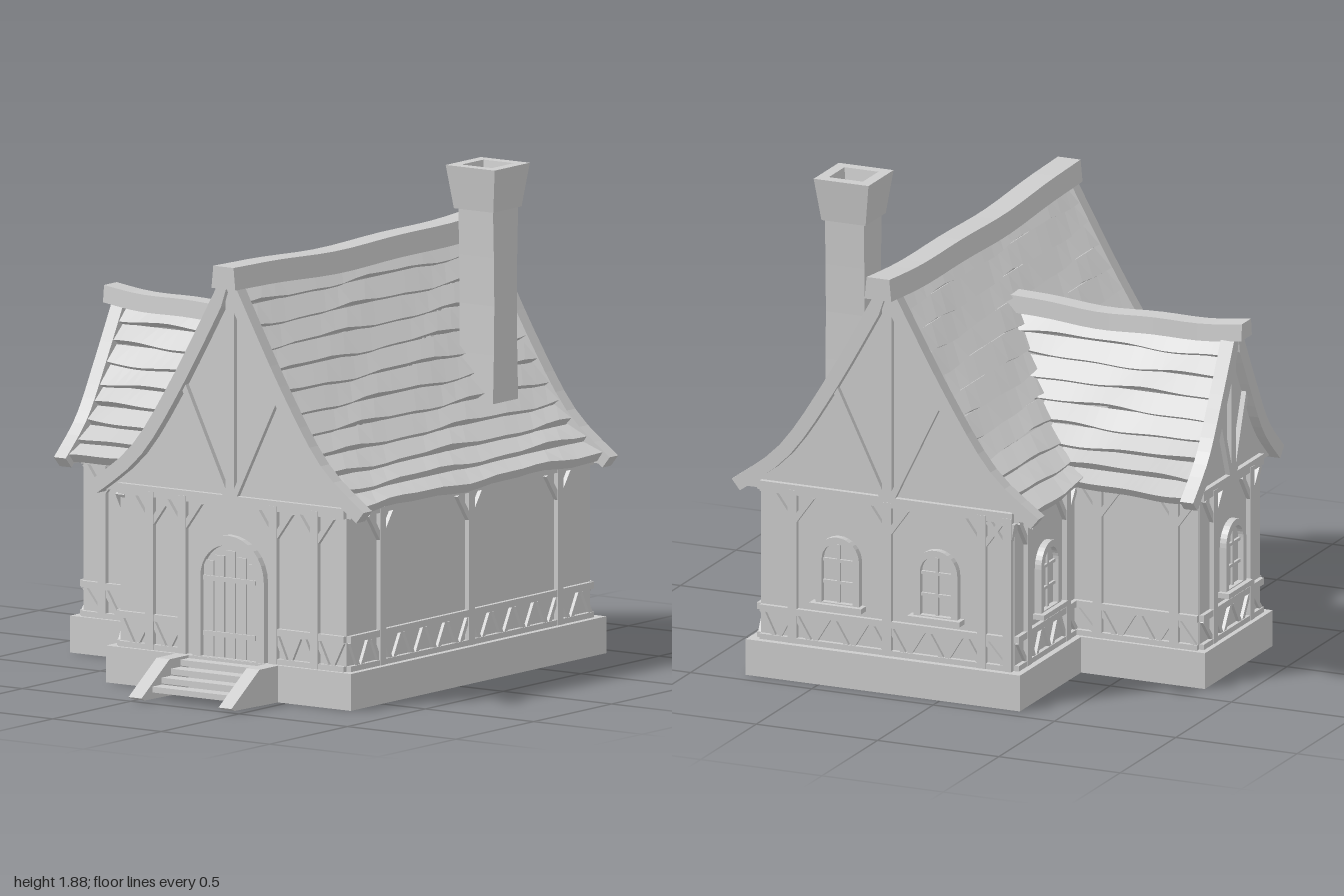
import * as THREE from 'three';

const stone = new THREE.MeshStandardMaterial({ color: 0xcccccc, flatShading: true, side: THREE.DoubleSide });
stone.name = 'plain grey';

const mesh = (parent, name, geo, x = 0, y = 0, z = 0) => {
  const m = new THREE.Mesh(geo, stone);
  m.name = name;
  m.position.set(x, y, z);
  parent.add(m);
  return m;
};
const box = (parent, name, w, h, d, x, y, z) => mesh(parent, name, new THREE.BoxGeometry(w, h, d), x, y, z);
const group = (parent, name, x = 0, y = 0, z = 0, rot = 0) => {
  const g = new THREE.Group();
  g.name = name;
  g.position.set(x, y, z);
  g.rotation.y = rot;
  parent.add(g);
  return g;
};
const V = (x, y) => new THREE.Vector2(x, y);
const extrude = (shape, depth) => new THREE.ExtrudeGeometry(shape, { depth, bevelEnabled: false, curveSegments: 8 });

// Concave roof profiles: distance from the ridge, height
const mainProfile = new THREE.SplineCurve([V(0, 1.56), V(0.22, 1.17), V(0.41, 0.89), V(0.61, 0.73)]);
const wingProfile = new THREE.SplineCurve([V(0, 1.29), V(0.12, 1.07), V(0.24, 0.87), V(0.385, 0.73)]);
const MAIN_Z = 0.23, WING_X = 0.085;

const offsetPoint = (curve, t, off) => {
  const p = curve.getPointAt(t), q = curve.getTangentAt(t);
  return V(p.x - q.y * off, p.y + q.x * off);
};
// Symmetric line across both slopes, left foot to right foot
const bothSlopes = (curve, off, n = 12) => {
  const half = [];
  for (let i = 0; i <= n; i++) {
    const p = offsetPoint(curve, i / n, off);
    p.x = Math.max(p.x, 0.001);
    half.push(p);
  }
  return [...half.map(p => V(-p.x, p.y)).reverse(), ...half];
};
// Distance of the main slope from its ridge at a given height
const mainDistance = y => {
  let t = 0;
  while (t < 1 && mainProfile.getPointAt(t).y > y) t += 0.01;
  return mainProfile.getPointAt(Math.min(t, 1)).x;
};

// One slope of overlapping wavy boards; local z runs down the slope
function slope(parent, name, curve, rows, range, x, z, rot) {
  const g = group(parent, name, x, 0, z, rot);
  const tEnd = 0.965;
  for (let i = 0; i < rows; i++) {
    const t0 = (i / rows) * tEnd, t1 = ((i + 1) / rows) * tEnd;
    const [a0, a1] = range(curve.getPointAt((t0 + t1) / 2).y);
    const geo = new THREE.BoxGeometry(1, 1, 1, 18, 1, 1), pos = geo.attributes.position;
    for (let k = 0; k < pos.count; k++) {
      const a = a0 + (pos.getX(k) + 0.5) * (a1 - a0);
      const low = pos.getZ(k) > 0, top = pos.getY(k) > 0;
      const p = offsetPoint(curve, low ? t1 : t0, top ? (low ? 0.032 : 0.004) : -0.012);
      const wave = 0.006 * Math.sin(a * 8 + i * 1.7) + 0.003 * Math.sin(a * 19 + i * 2.3);
      pos.setXYZ(k, a, p.y + (low ? wave : 0), p.x - (low ? wave * 0.5 : 0));
    }
    geo.computeVertexNormals();
    mesh(g, 'roofBoard', geo);
  }
}

// Curved boards closing a gable end
function barge(parent, curve, x, z, rot) {
  const pts = [...bothSlopes(curve, 0.036), ...bothSlopes(curve, -0.018).reverse()];
  mesh(parent, 'bargeBoard', extrude(new THREE.Shape(pts), 0.055), x, 0, z).rotation.y = rot;
}

// Sagging ridge beam along local x, narrower on top
function ridge(parent, len, w, h, sag, x, y, z, rot) {
  const geo = new THREE.BoxGeometry(len, h, w, 16, 1, 1), pos = geo.attributes.position;
  for (let k = 0; k < pos.count; k++) {
    const s = pos.getX(k) / len * 2;
    if (pos.getY(k) > 0) pos.setZ(k, pos.getZ(k) * 0.85);
    pos.setY(k, pos.getY(k) + sag * (s * s - 1) + 0.004 * Math.sin(s * 7));
  }
  geo.computeVertexNormals();
  mesh(parent, 'ridgeBeam', geo, x, y, z).rotation.y = rot;
}

// Timber in a wall's own plane, sunk half into the wall
function timber(g, name, u1, v1, u2, v2, w = 0.035, d = 0.04) {
  const m = box(g, name, Math.hypot(u2 - u1, v2 - v1), w, d, (u1 + u2) / 2, (v1 + v2) / 2, 0);
  m.rotation.z = Math.atan2(v2 - v1, u2 - u1);
}

function arch(Type, r, y0, spring, u = 0) {
  const s = new Type();
  s.moveTo(u - r, y0);
  s.lineTo(u + r, y0);
  s.lineTo(u + r, spring);
  s.absarc(u, spring, r, 0, Math.PI, false);
  s.lineTo(u - r, y0);
  return s;
}
function archFrame(g, name, u, rOut, rIn, y0, spring, depth) {
  const s = arch(THREE.Shape, rOut, y0, spring, u);
  s.holes.push(arch(THREE.Path, rIn, y0 + 0.012, spring, u));
  mesh(g, name, extrude(s, depth));
}

function windowAt(wall, u) {
  const g = group(wall, 'window', u);
  archFrame(g, 'windowFrame', 0, 0.09, 0.064, 0.31, 0.49, 0.03);
  mesh(g, 'windowPane', new THREE.ShapeGeometry(arch(THREE.Shape, 0.066, 0.31, 0.49)), 0, 0, 0.008);
  box(g, 'windowBar', 0.012, 0.23, 0.012, 0, 0.433, 0.012);
  for (const y of [0.4, 0.485]) box(g, 'windowBar', 0.128, 0.012, 0.012, 0, y, 0.012);
  box(g, 'windowSill', 0.215, 0.02, 0.09, 0, 0.308, 0.005);
}

// Half-timbered wall: u runs along the wall, local z points outwards
function wall(parent, name, x, z, rot, u0, u1, posts, windows, doorAt = null) {
  const g = group(parent, name, x, 0, z, rot);
  box(g, 'wallPanel', u1 - u0, 0.63, 0.006, (u0 + u1) / 2, 0.435, 0);
  timber(g, 'topBeam', u0, 0.74, u1, 0.74, 0.04);
  for (const u of posts) {
    timber(g, 'post', u, 0.13, u, 0.74, 0.036, 0.044);
    for (const s of [-1, 1]) {
      const e = Math.min(Math.max(u + s * 0.08, u0), u1);
      timber(g, 'brace', u, 0.61, e, 0.72, 0.022);
    }
  }
  // Rail, sill and zigzag struts, bay by bay
  const edges = [u0, ...posts, u1];
  for (let i = 0; i + 1 < edges.length; i++) {
    const a = edges[i], b = edges[i + 1];
    if (b - a < 0.05 || (doorAt !== null && a < doorAt && b > doorAt)) continue;
    timber(g, 'rail', a, 0.262, b, 0.262, 0.026);
    timber(g, 'sill', a, 0.15, b, 0.15, 0.022);
    const n = Math.max(1, Math.round((b - a) / 0.075)), d = (b - a) / n;
    for (let k = 0; k < n; k++) {
      const up = k % 2 === 0;
      timber(g, 'strut', a + k * d + 0.01, up ? 0.25 : 0.155, a + (k + 1) * d - 0.01, up ? 0.155 : 0.25, 0.018, 0.032);
    }
  }
  for (const u of windows) windowAt(g, u);
  return g;
}

function gable(g, curve, c, reach, top) {
  mesh(g, 'gablePanel', new THREE.ShapeGeometry(new THREE.Shape(bothSlopes(curve, -0.005))), c, 0, 0);
  timber(g, 'gablePost', c, 0.75, c, top, 0.04);
  for (const s of [-1, 1]) timber(g, 'gableBrace', c + s * 0.02, 0.76, c + s * reach[0], reach[1], 0.024);
}

// Hollow rectangular plinth, open below
function plinth(parent, name, x0, x1, z0, z1) {
  const path = (Type, i) => new Type([V(x0 + i, -z0 - i), V(x1 - i, -z0 - i), V(x1 - i, -z1 + i), V(x0 + i, -z1 + i)]);
  const s = path(THREE.Shape, 0);
  s.holes.push(path(THREE.Path, 0.06));
  mesh(parent, name, extrude(s, 0.14).rotateX(-Math.PI / 2));
}

export function createModel() {
  const house = new THREE.Group();
  house.name = 'house';
  const Q = Math.PI / 2;

  plinth(house, 'mainPlinth', -0.7, 0.94, -0.33, 0.8);
  plinth(house, 'wingPlinth', -0.22, 0.39, -0.84, -0.3);

  // Walls
  wall(house, 'frontWall', 0, 0.755, 0, -0.665, 0.895, [-0.46, 0.11, 0.68], []);
  const right = wall(house, 'rightWall', 0.895, 0, Q, -0.755, 0.285, [-0.62, -0.23, 0.16, 0.265], [-0.43, -0.025]);
  gable(right, mainProfile, -MAIN_Z, [0.215, 1.16], 1.53);
  const left = wall(house, 'leftWall', -0.665, 0, -Q, -0.285, 0.755, [-0.14, 0.01, 0.43, 0.62], [], MAIN_Z);
  gable(left, mainProfile, MAIN_Z, [0.215, 1.16], 1.53);
  wall(house, 'backWallRight', 0, -0.285, Math.PI, -0.895, -0.35, [-0.8, -0.45], [-0.625]);
  wall(house, 'backWallLeft', 0, -0.285, Math.PI, 0.19, 0.665, [0.27, 0.6], [0.435]);
  const wing = wall(house, 'wingBackWall', 0, -0.8, Math.PI, -0.355, 0.185, [-0.25, 0.08], [-WING_X]);
  gable(wing, wingProfile, -WING_X, [0.125, 1.05], 1.26);
  wall(house, 'wingRightWall', 0.355, 0, Q, 0.285, 0.8, [0.39, 0.705], []);
  wall(house, 'wingLeftWall', -0.185, 0, -Q, -0.8, -0.285, [-0.705, -0.39], []);

  // Arched plank door
  const door = group(left, 'door', MAIN_Z);
  archFrame(door, 'doorFrame', 0, 0.165, 0.128, 0.13, 0.445, 0.03);
  mesh(door, 'doorLeaf', new THREE.ShapeGeometry(arch(THREE.Shape, 0.13, 0.13, 0.445)), 0, 0, 0.008);
  for (let i = -2; i <= 2; i++) box(door, 'doorSlat', 0.044, 0.41 - Math.abs(i) * 0.022, 0.008, i * 0.05, 0.345 - Math.abs(i) * 0.011, 0.012);
  for (const y of [0.23, 0.44]) box(door, 'doorStrap', 0.24, 0.018, 0.01, 0, y, 0.018);

  // Steps between two side stringers
  const steps = group(house, 'steps');
  const side = new THREE.Shape([V(-1, 0.015), V(-0.98, 0.005), V(-0.69, 0), V(-0.69, 0.14), V(-0.82, 0.14)]);
  for (const z of [-0.01, 0.405]) mesh(steps, 'stringer', extrude(side, 0.06), 0, 0, z);
  for (let i = 0; i < 4; i++) box(steps, 'tread', 0.062, 0.022, 0.37, -0.9 + i * 0.06, 0.04 + i * 0.026, 0.228);

  // Main roof
  slope(house, 'frontRoof', mainProfile, 11, () => [-0.66, 0.885], 0, MAIN_Z, 0);
  slope(house, 'backRoof', mainProfile, 11, () => [-0.885, 0.66], 0, MAIN_Z, Math.PI);
  barge(house, mainProfile, 0.875, MAIN_Z, Q);
  barge(house, mainProfile, -0.65, MAIN_Z, -Q);
  ridge(house, 1.72, 0.11, 0.085, 0.024, 0.135, 1.595, MAIN_Z, 0);

  // Wing roof, running into the main slope
  const meet = y => MAIN_Z - mainDistance(y) + 0.01;
  slope(house, 'wingRightRoof', wingProfile, 8, y => [-meet(y), 0.8], WING_X, 0, Q);
  slope(house, 'wingLeftRoof', wingProfile, 8, y => [-0.8, meet(y)], WING_X, 0, -Q);
  barge(house, wingProfile, WING_X, -0.785, Math.PI);
  ridge(house, 0.97, 0.095, 0.065, 0.022, WING_X - 0.005, 1.323, -0.385, Q);

  // Chimney with a flared hollow cap
  const chimney = group(house, 'chimney', 0.548, 0, 0.535);
  const stack = new THREE.BoxGeometry(0.155, 0.74, 0.16, 1, 4, 1), sp = stack.attributes.position;
  for (let k = 0; k < sp.count; k++) sp.setX(k, sp.getX(k) * (1 - 0.07 * Math.cos(sp.getY(k) * 6)) + 0.003);
  stack.computeVertexNormals();
  mesh(chimney, 'stack', stack, 0, 1.36, 0);
  const R = Math.SQRT2;
  const cap = [V(0.001, 1.72), V(0.091 * R, 1.72), V(0.113 * R, 1.885), V(0.07 * R, 1.885), V(0.055 * R, 1.78), V(0.001, 1.78)];
  const capMesh = mesh(chimney, 'chimneyCap', new THREE.LatheGeometry(cap, 4));
  capMesh.rotation.y = Math.PI / 4;
  return house;
}
